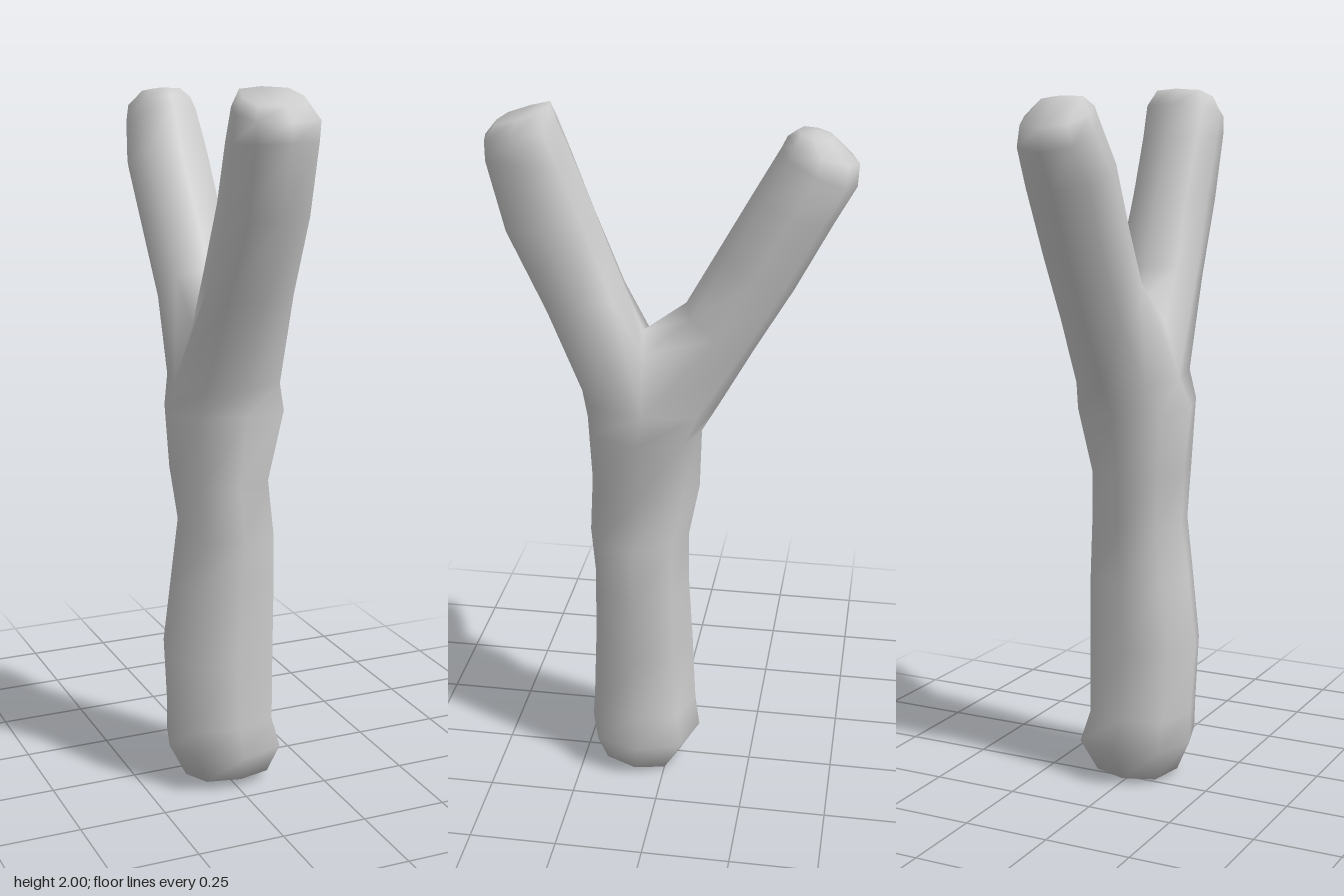
import * as THREE from 'three';

const SIDES = 8;
const positions = [];
const indices = [];

function addPoint(x, y, z) {
  positions.push(x, y, z);
  return positions.length / 3 - 1;
}

// One cross-section: x range plus its front and back points as [z, y]
function ring([xMin, xMax, front, back], corner = 0.76) {
  const cx = (xMin + xMax) / 2, hx = (xMax - xMin) / 2;
  const cz = (front[0] + back[0]) / 2, hz = (front[0] - back[0]) / 2;
  const cy = (front[1] + back[1]) / 2, hy = (front[1] - back[1]) / 2;
  return Array.from({ length: SIDES }, (_, k) => {
    const a = (k / SIDES) * Math.PI * 2;
    const s = k % 2 ? corner / Math.SQRT1_2 : 1;
    const c = Math.cos(a) * s, d = Math.sin(a) * s;
    return addPoint(cx + hx * c, cy + hy * d, cz + hz * d);
  });
}

function bridge(rings) {
  for (let i = 0; i + 1 < rings.length; i++) {
    const a = rings[i], b = rings[i + 1];
    for (let k = 0; k < SIDES; k++) {
      const n = (k + 1) % SIDES;
      indices.push(a[k], b[k], a[n], a[n], b[k], b[n]);
    }
  }
}

function cap(loop, center, up) {
  const c = addPoint(...center);
  loop.forEach((p, k) => {
    const n = loop[(k + 1) % SIDES];
    if (up) indices.push(c, n, p);
    else indices.push(c, p, n);
  });
}

export function createModel() {
  positions.length = indices.length = 0;

  // Trunk, from the cut foot to just below the fork
  const trunk = [
    [-0.12, 0.13, [0.20, 0.03], [-0.03, 0.005]],
    [-0.165, 0.17, [0.235, 0.11], [-0.095, 0.11]],
    [-0.165, 0.14, [0.232, 0.20], [-0.08, 0.20]],
    [-0.18, 0.145, [0.225, 0.40], [-0.07, 0.40]],
    [-0.155, 0.145, [0.22, 0.62], [-0.06, 0.60]],
    [-0.13, 0.135, [0.23, 0.76], [-0.06, 0.77]],
    [-0.145, 0.12, [0.225, 0.92], [-0.088, 0.92]],
    [-0.165, 0.172, [0.232, 1.12], [-0.095, 1.10]],
    [-0.135, 0.15, [0.245, 1.20], [-0.14, 1.18]],
  ].map((r) => ring(r));
  bridge(trunk);
  cap(trunk[0], [0, 0, 0.07], false);

  // Saddle between the limbs, shared by both limb bases
  const t = trunk[trunk.length - 1];
  const right = addPoint(-0.085, 1.35, 0.06);
  const middle = addPoint(0, 1.39, 0.07);
  const left = addPoint(0.085, 1.35, 0.06);

  // Front limb
  const frontLimb = [
    [-0.11, 0.12, [0.34, 1.46], [0.115, 1.50]],
    [-0.10, 0.11, [0.45, 1.68], [0.19, 1.70]],
    [-0.105, 0.11, [0.495, 1.87], [0.255, 1.86]],
    [-0.105, 0.115, [0.49, 1.92], [0.295, 1.955]],
    [-0.085, 0.085, [0.46, 1.957], [0.315, 2.0]],
  ].map((r) => ring(r, 0.8));
  bridge([[t[0], t[1], t[2], t[3], t[4], right, middle, left], ...frontLimb]);
  cap(frontLimb[4], [0, 1.965, 0.405], true);

  // Back limb
  const backLimb = [
    [-0.11, 0.13, [-0.05, 1.48], [-0.24, 1.36]],
    [-0.115, 0.125, [-0.14, 1.64], [-0.34, 1.53]],
    [-0.125, 0.122, [-0.23, 1.80], [-0.44, 1.72]],
    [-0.105, 0.11, [-0.295, 1.915], [-0.495, 1.82]],
    [-0.095, 0.095, [-0.31, 1.945], [-0.498, 1.88]],
    [-0.06, 0.06, [-0.335, 1.963], [-0.43, 1.945]],
  ].map((r) => ring(r, 0.74));
  bridge([[t[0], left, middle, right, t[4], t[5], t[6], t[7]], ...backLimb]);
  cap(backLimb[5], [0, 1.962, -0.385], true);

  const geometry = new THREE.BufferGeometry();
  geometry.setAttribute('position', new THREE.Float32BufferAttribute(positions, 3));
  geometry.setIndex(indices);
  geometry.computeVertexNormals();

  const mesh = new THREE.Mesh(geometry, new THREE.MeshStandardMaterial({ color: 0xcccccc }));
  mesh.name = 'forkedBranch';
  const group = new THREE.Group();
  group.name = 'forkedStick';
  group.add(mesh);
  return group;
}
